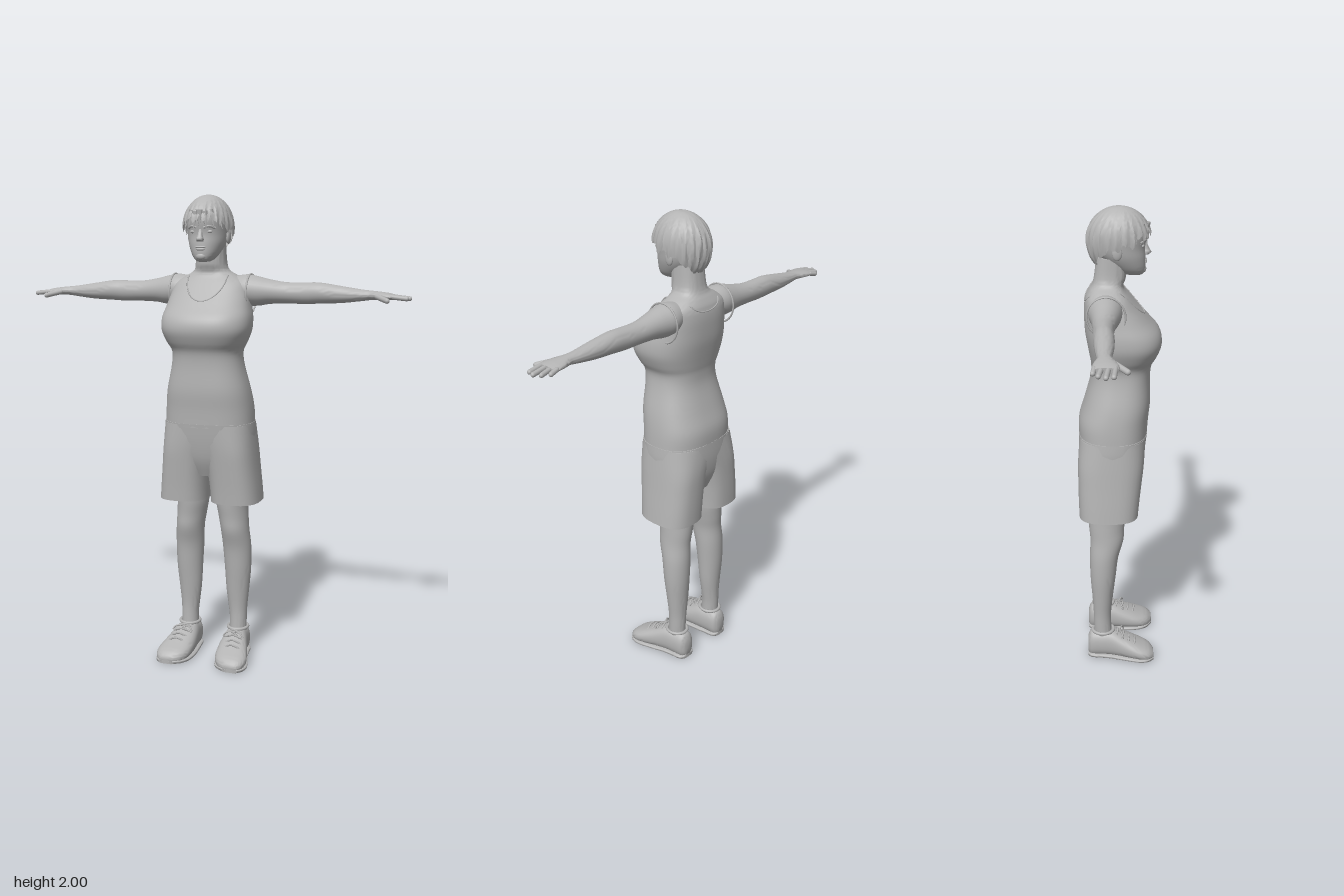
import * as THREE from 'three';
import { toCreasedNormals } from 'three/addons/utils/BufferGeometryUtils.js';

const grey = new THREE.MeshStandardMaterial({ color: 0xb4b4b4, side: THREE.DoubleSide });
grey.name = 'plain grey';
const V = (x, y, z) => new THREE.Vector3(x, y, z);

// Smooth interpolation through section rows at parameter f (row units)
function rowAt(rows, f) {
  const n = rows.length - 1, i = Math.min(Math.floor(f), n - 1), t = f - i;
  const [p, a, b, q] = [-1, 0, 1, 2].map(k => rows[Math.max(0, Math.min(n, i + k))]);
  return a.map((_, c) => a[c] + 0.5 * t * (b[c] - p[c] + t * (2 * p[c] - 5 * a[c] + 4 * b[c] - q[c]
    + t * (3 * (a[c] - b[c]) + q[c] - p[c]))));
}
const place = { x: (t, u, v) => V(t, u, v), y: (t, u, v) => V(u, t, v), z: (t, u, v) => V(u, Math.max(0, v), t) };

// Skin a grid of points; each ring wraps round, with optional start and end cap centres
function skin(rings, seg, centres) {
  const pos = [], idx = [];
  rings.flat().forEach(p => pos.push(p.x, p.y, p.z));
  for (let i = 0; i < rings.length - 1; i++) for (let j = 0; j < seg; j++) {
    const a = i * seg + j, b = i * seg + (j + 1) % seg;
    idx.push(a, b, a + seg, b, b + seg, a + seg);
  }
  centres.forEach((c, e) => {
    const k = pos.length / 3, o = e ? (rings.length - 1) * seg : 0;
    pos.push(c.x, c.y, c.z);
    for (let j = 0; j < seg; j++) {
      const a = o + j, b = o + (j + 1) % seg;
      if (e) idx.push(a, b, k);
      else idx.push(b, a, k);
    }
  });
  // Turn the faces outward if the enclosed volume is negative
  let vol = 0;
  const P = i => V(pos[i * 3], pos[i * 3 + 1], pos[i * 3 + 2]);
  for (let i = 0; i < idx.length; i += 3) vol += P(idx[i]).dot(P(idx[i + 1]).cross(P(idx[i + 2])));
  if (vol < 0) idx.reverse();
  const g = new THREE.BufferGeometry();
  g.setAttribute('position', new THREE.Float32BufferAttribute(pos, 3));
  g.setIndex(idx);
  return toCreasedNormals(g, 1.0);
}

// Loft rows [t, u0, u1, v0, v1] of superelliptic sections along an axis
function loft(rows, axis, { seg = 32, sub = 4, n = 2, recess = 0 } = {}) {
  const rings = [], at = place[axis];
  const pw = s => Math.sign(s) * Math.abs(s) ** (2 / n);
  for (let i = 0; i <= (rows.length - 1) * sub; i++) {
    const [t, u0, u1, v0, v1] = rowAt(rows, i / sub);
    rings.push(Array.from({ length: seg }, (_, j) => {
      const a = j / seg * Math.PI * 2;
      return at(t, (u0 + u1) / 2 + (u1 - u0) / 2 * pw(Math.cos(a)), (v0 + v1) / 2 + (v1 - v0) / 2 * pw(Math.sin(a)));
    }));
  }
  const mid = (r, d) => at(r[0] + d, (r[1] + r[2]) / 2, (r[3] + r[4]) / 2);
  return skin(rings, seg, [mid(rows[0], recess), mid(rows.at(-1), 0)]);
}
const tube = (pts, r, closed = false) =>
  new THREE.TubeGeometry(new THREE.CatmullRomCurve3(pts, closed), pts.length * 4, r, 6, closed);
const ball = (x, y, z, rx, ry, rz) => new THREE.SphereGeometry(1, 20, 14).scale(rx, ry, rz).translate(x, y, z);
function finger(a, b, r) {
  const d = b.clone().sub(a);
  return new THREE.CapsuleGeometry(r, d.length() - r, 5, 10)
    .applyQuaternion(new THREE.Quaternion().setFromUnitVectors(V(0, 1, 0), d.clone().normalize()))
    .translate((a.x + b.x) / 2, (a.y + b.y) / 2, (a.z + b.z) / 2);
}
const sym = rows => rows.map(([y, w, f, b]) => [y, -w, w, b, f]);

export function createModel() {
  const model = new THREE.Group();
  model.name = 'standingWoman';
  const add = (name, geo, mirror = 1) => {
    const m = new THREE.Mesh(geo, grey);
    m.name = name;
    m.scale.x = mirror;
    model.add(m);
  };
  const pair = (name, geo) => { add(name + 'Left', geo); add(name + 'Right', geo, -1); };

  // Torso and neck: [y, half width, front z, back z]
  const torso = sym([[1.045, 0.19, 0.117, -0.168], [1.12, 0.186, 0.122, -0.168], [1.2, 0.175, 0.13, -0.145],
    [1.3, 0.152, 0.128, -0.118], [1.36, 0.148, 0.135, -0.115], [1.4, 0.168, 0.157, -0.121],
    [1.45, 0.187, 0.175, -0.13], [1.5, 0.188, 0.165, -0.138], [1.55, 0.178, 0.122, -0.141],
    [1.6, 0.168, 0.078, -0.141], [1.64, 0.155, 0.045, -0.135], [1.67, 0.11, 0.022, -0.12],
    [1.69, 0.076, 0.018, -0.108], [1.72, 0.064, 0.028, -0.1], [1.8, 0.06, 0.03, -0.09]]);
  add('torso', loft(torso, 'y', { seg: 56, n: 2.5 }));

  // Neckline edge following the torso surface
  const onTorso = (x, y, side) => {
    const i = torso.findIndex(r => r[0] > y) - 1;
    const [, , w, b, f] = rowAt(torso, i + (y - torso[i][0]) / (torso[i + 1][0] - torso[i][0]));
    const k = Math.max(0, 1 - Math.abs(x / w) ** 2.5) ** 0.4;
    return V(x, y, (f + b) / 2 + side * (f - b) / 2 * k);
  };
  const neckline = [];
  for (let i = 0; i < 24; i++) {
    const a = i / 24 * Math.PI * 2, s = Math.sin(a);
    neckline.push(onTorso(0.085 * Math.cos(a), 1.67 - Math.abs(s) * (s > 0 ? 0.1 : 0.045), s >= 0 ? 1 : -1));
  }
  add('neckline', tube(neckline, 0.003, true));
  pair('armholeEdge', new THREE.TorusGeometry(0.08, 0.004, 6, 40).rotateY(Math.PI / 2)
    .scale(1, 1, 0.95).translate(0.168, 1.597, -0.052));

  // Arms and hands along x: [x, y0, y1, z0, z1]
  pair('arm', loft([[0.08, 1.57, 1.665, -0.105, 0], [0.15, 1.548, 1.676, -0.122, 0.012], [0.2, 1.547, 1.668, -0.115, 0.005],
    [0.25, 1.555, 1.656, -0.108, -0.006], [0.32, 1.558, 1.645, -0.103, -0.018], [0.4, 1.557, 1.645, -0.1, -0.022],
    [0.46, 1.56, 1.645, -0.099, -0.02], [0.55, 1.564, 1.632, -0.094, -0.022], [0.63, 1.573, 1.62, -0.086, -0.03],
    [0.67, 1.578, 1.616, -0.084, -0.028], [0.7, 1.579, 1.613, -0.094, -0.014], [0.74, 1.579, 1.608, -0.1, -0.004],
    [0.765, 1.582, 1.602, -0.096, -0.01]], 'x', { seg: 28 }));
  [[-0.09, 0.785, -0.097], [-0.066, 0.812, -0.078], [-0.042, 0.828, -0.052], [-0.018, 0.82, -0.025]]
    .forEach(([z, tx, tz], i) => pair('finger' + (i + 1), finger(V(0.745, 1.594, z), V(tx, 1.586, tz), 0.0095)));
  pair('thumb', finger(V(0.695, 1.594, -0.025), V(0.75, 1.578, 0.026), 0.011));

  // Shorts: seat plus two legs with hollow hems
  add('shortsSeat', loft(sym([[0.83, 0.1, 0.06, -0.13], [0.9, 0.17, 0.09, -0.158], [0.98, 0.194, 0.108, -0.17],
    [1.06, 0.192, 0.119, -0.17]]), 'y', { n: 2.6 }));
  pair('shortsLeg', loft([[0.715, 0.01, 0.222, -0.17, 0.08], [0.78, 0.006, 0.216, -0.172, 0.086],
    [0.86, -0.004, 0.208, -0.173, 0.095], [0.95, -0.03, 0.2, -0.173, 0.105], [1.055, -0.12, 0.19, -0.165, 0.112]],
    'y', { n: 2.7, recess: 0.05 }));

  // Legs: [y, x0, x1, z0, z1]
  pair('leg', loft([[0.06, 0.075, 0.15, -0.11, -0.03], [0.16, 0.076, 0.151, -0.113, -0.036], [0.22, 0.07, 0.153, -0.114, -0.036],
    [0.3, 0.06, 0.161, -0.119, -0.028], [0.4, 0.054, 0.17, -0.126, -0.016], [0.5, 0.047, 0.171, -0.128, -0.004],
    [0.58, 0.042, 0.164, -0.125, 0.018], [0.64, 0.032, 0.16, -0.13, 0.022], [0.72, 0.02, 0.158, -0.135, 0.03],
    [0.86, 0.02, 0.17, -0.14, 0.035]], 'y'));

  // Shoes along z: [z, x0, x1, y0, y1]
  const shoe = [[-0.14, 0.09, 0.135, 0.015, 0.09], [-0.125, 0.072, 0.153, 0, 0.12], [-0.08, 0.066, 0.16, 0, 0.127],
    [-0.035, 0.06, 0.168, 0, 0.13], [0.03, 0.055, 0.187, 0, 0.1], [0.09, 0.06, 0.202, 0, 0.072],
    [0.13, 0.08, 0.196, 0, 0.054], [0.153, 0.115, 0.175, 0.004, 0.034]];
  pair('shoe', loft(shoe, 'z', { n: 2.4 }));
  pair('sole', loft(shoe.map(([z, a, b]) => [z, a - 0.003, b + 0.003, 0, 0.018]), 'z', { n: 4 }));
  pair('shoeCollar', new THREE.TorusGeometry(0.043, 0.007, 8, 28).rotateX(Math.PI / 2)
    .scale(1, 1, 1.08).translate(0.113, 0.127, -0.072));
  for (let i = 0; i < 4; i++) {
    const z = -0.015 + i * 0.026, y = 0.127 - i * 0.0125, x = 0.117 + i * 0.004;
    pair('lace' + (i + 1), tube([V(x - 0.035, y - 0.013, z), V(x, y + 0.002, z + 0.008), V(x + 0.035, y - 0.013, z + 0.003)], 0.004));
  }
  for (const s of [-1, 1]) pair('laceBow', tube([V(0.118, 0.122, 0), V(0.118 + s * 0.03, 0.125, 0.012),
    V(0.118 + s * 0.045, 0.105, 0.018), V(0.118 + s * 0.02, 0.112, 0.016)], 0.0035, true));

  // Head and face
  add('head', loft(sym([[1.728, 0.022, 0.092, 0.03], [1.738, 0.038, 0.102, 0], [1.76, 0.055, 0.106, -0.03],
    [1.8, 0.073, 0.106, -0.075], [1.84, 0.081, 0.104, -0.1], [1.9, 0.086, 0.112, -0.108],
    [1.95, 0.076, 0.09, -0.095], [1.98, 0.045, 0.05, -0.06]]), 'y', { n: 2.1 }));
  add('nose', loft([[1.808, -0.013, 0.013, 0.09, 0.118], [1.817, -0.016, 0.016, 0.09, 0.128], [1.83, -0.011, 0.011, 0.09, 0.121],
    [1.858, -0.007, 0.007, 0.09, 0.108]], 'y', { seg: 16 }));
  add('upperLip', ball(0, 1.787, 0.104, 0.024, 0.005, 0.008));
  add('lowerLip', ball(0, 1.778, 0.103, 0.02, 0.006, 0.008));
  add('chin', ball(0, 1.75, 0.094, 0.022, 0.016, 0.015));
  pair('eye', ball(0.033, 1.848, 0.092, 0.015, 0.007, 0.008));
  pair('brow', tube([V(0.014, 1.864, 0.106), V(0.036, 1.87, 0.099), V(0.057, 1.862, 0.082)], 0.005));
  pair('ear', ball(0.083, 1.83, -0.008, 0.009, 0.031, 0.02));

  // Short combed hair: strands run down from the crown to a ragged edge
  const seg = 120, steps = 22, rings = [];
  for (let i = 0; i <= steps; i++) rings.push(Array.from({ length: seg }, (_, j) => {
    const p = j / seg * Math.PI * 2, c = Math.cos(p), q = Math.abs(Math.sin(p));
    const jag = 0.012 * Math.sin(p * 13 + 1) + 0.007 * Math.sin(p * 29);
    const edge = (c > 0 ? 1.897 - 0.05 * q ** 4 : 1.768 + 0.079 * q ** 2.5) + jag * (c > -0.3 ? 1 : 0.5);
    const a = 0.02 + (Math.acos(Math.max(-0.9, (edge - 1.87) / 0.128)) - 0.02) * i / steps, s = Math.sin(a);
    const ridge = 1 + (0.025 * Math.sin(p * 24 + a * 2) + 0.015 * Math.sin(p * 41 - a * 3)) * s;
    const r = (a > Math.PI / 2 ? s ** 0.65 : s) * ridge;
    return V(0.101 * r * Math.sin(p), 1.87 + 0.128 * Math.cos(a), 0.128 * r * c);
  }));
  add('hair', skin(rings, seg, [V(0, 1.998, 0)]));
  // Fringe locks over the forehead
  for (let i = -3; i <= 3; i++) {
    add('fringeLock', new THREE.ConeGeometry(0.015, 0.075, 8).rotateX(Math.PI).scale(1, 1, 0.5)
      .rotateZ(0.12 * i).translate(i * 0.023, 1.897 - (i % 2 ? 0.006 : 0), 0.116 - i * i * 0.0055));
  }
  return model;
}
